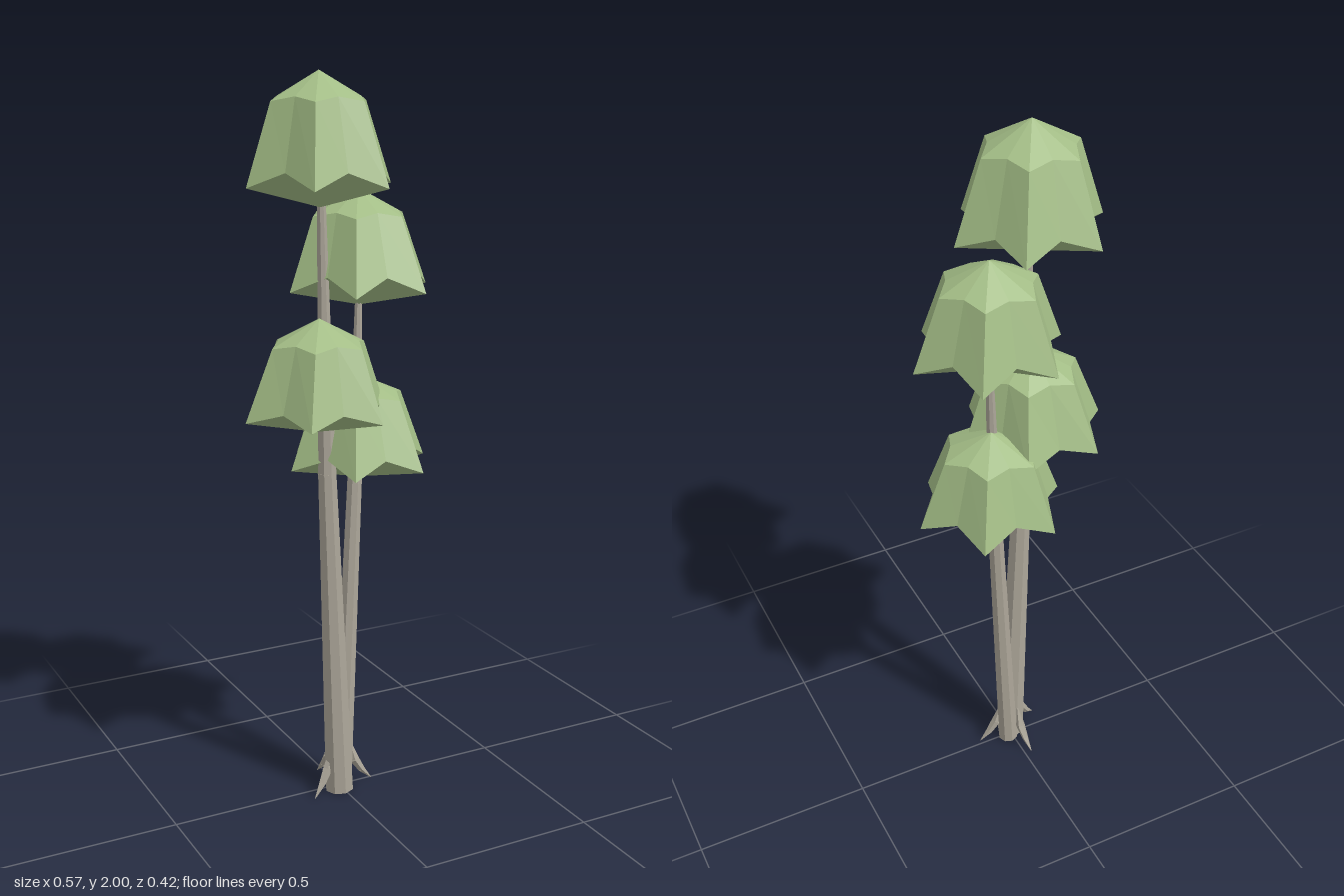
import * as THREE from 'three';

const bark = new THREE.MeshStandardMaterial({ color: 0xaca699, flatShading: true });
bark.name = 'bark';
const leaf = new THREE.MeshStandardMaterial({ color: 0xa3bd86, flatShading: true });
leaf.name = 'leaf';

// Six-pointed bell of leaves: rings run from the pointed underside up to the apex.
function canopy(name, apex, base, tipY, notchY, bottomY, shoulderY) {
  const lobes = 6, n = lobes * 2;
  const rings = [
    { tip: [0, bottomY], notch: [0, bottomY], t: 0 },
    { tip: [0.206, tipY], notch: [0.155, notchY], t: 0 },
    { tip: [0.134, shoulderY], notch: [0.106, shoulderY + 0.012], t: 0.8 },
    { tip: [0, apex[1]], notch: [0, apex[1]], t: 1 },
  ];
  const point = (k, i) => {
    const [r, y] = i % 2 ? rings[k].notch : rings[k].tip;
    const a = (i % n) / n * Math.PI * 2, t = rings[k].t;
    const cx = base[0] + (apex[0] - base[0]) * t;
    const cz = base[1] + (apex[2] - base[1]) * t;
    return [cx + r * Math.cos(a), y, cz + r * Math.sin(a)];
  };
  const v = [];
  for (let k = 0; k < rings.length - 1; k++) {
    for (let i = 0; i < n; i++) {
      const l = point(k, i), l2 = point(k, i + 1);
      const u = point(k + 1, i), u2 = point(k + 1, i + 1);
      if (k < rings.length - 2) v.push(...l, ...u, ...u2);
      if (k > 0) v.push(...l, ...u2, ...l2);
    }
  }
  const g = new THREE.BufferGeometry();
  g.setAttribute('position', new THREE.Float32BufferAttribute(v, 3));
  g.computeVertexNormals();
  const mesh = new THREE.Mesh(g, leaf);
  mesh.name = name;
  return mesh;
}

// Tapered limb through a chain of [x, y, z, radius] stations.
function limb(name, stations, sides) {
  const group = new THREE.Group();
  group.name = name;
  for (let i = 0; i < stations.length - 1; i++) {
    const [a, b] = [stations[i], stations[i + 1]];
    const p = new THREE.Vector3(a[0], a[1], a[2]);
    const d = new THREE.Vector3(b[0], b[1], b[2]).sub(p);
    const mesh = new THREE.Mesh(
      new THREE.CylinderGeometry(b[3], a[3], d.length(), sides), bark);
    mesh.position.copy(p).addScaledVector(d, 0.5);
    mesh.quaternion.setFromUnitVectors(new THREE.Vector3(0, 1, 0), d.normalize());
    mesh.name = name + 'Section';
    group.add(mesh);
  }
  return group;
}

export function createModel() {
  const tree = new THREE.Group();
  tree.name = 'tree';

  // Two trunks leaning apart
  tree.add(
    limb('tallTrunk', [
      [-0.008, 0.004, 0.02, 0.041], [-0.045, 0.95, 0.02, 0.026], [-0.062, 1.72, 0.022, 0.011],
    ], 8),
    limb('shortTrunk', [
      [0.012, 0.004, -0.005, 0.03], [0.06, 0.9, -0.021, 0.021], [0.08, 1.45, -0.037, 0.009],
    ], 8));

  // Flared roots, given by the position of each tip
  for (const [x, z] of [[0.1, 0.01], [-0.1, 0.05], [-0.02, -0.1]]) {
    tree.add(limb('root', [
      [x * 0.33, 0.135, z * 0.33, 0.003],
      [x * 0.48, 0.075, z * 0.48, 0.014],
      [x * 0.7, 0.04, z * 0.7, 0.01],
      [x, 0.006, z, 0.001],
    ], 5));
  }

  // Four leaf clusters, two on each trunk
  tree.add(
    canopy('tallTopCanopy', [-0.075, 2.0, 0.037], [-0.068, 0.029], 1.715, 1.755, 1.66, 1.925),
    canopy('tallLowerCanopy', [-0.075, 1.375, 0.035], [-0.08, 0.03], 1.115, 1.145, 1.07, 1.305),
    canopy('shortTopCanopy', [0.078, 1.7, -0.04], [0.08, -0.035], 1.435, 1.48, 1.39, 1.63),
    canopy('shortLowerCanopy', [0.078, 1.2, -0.04], [0.08, -0.035], 0.95, 0.99, 0.91, 1.14));
  return tree;
}
